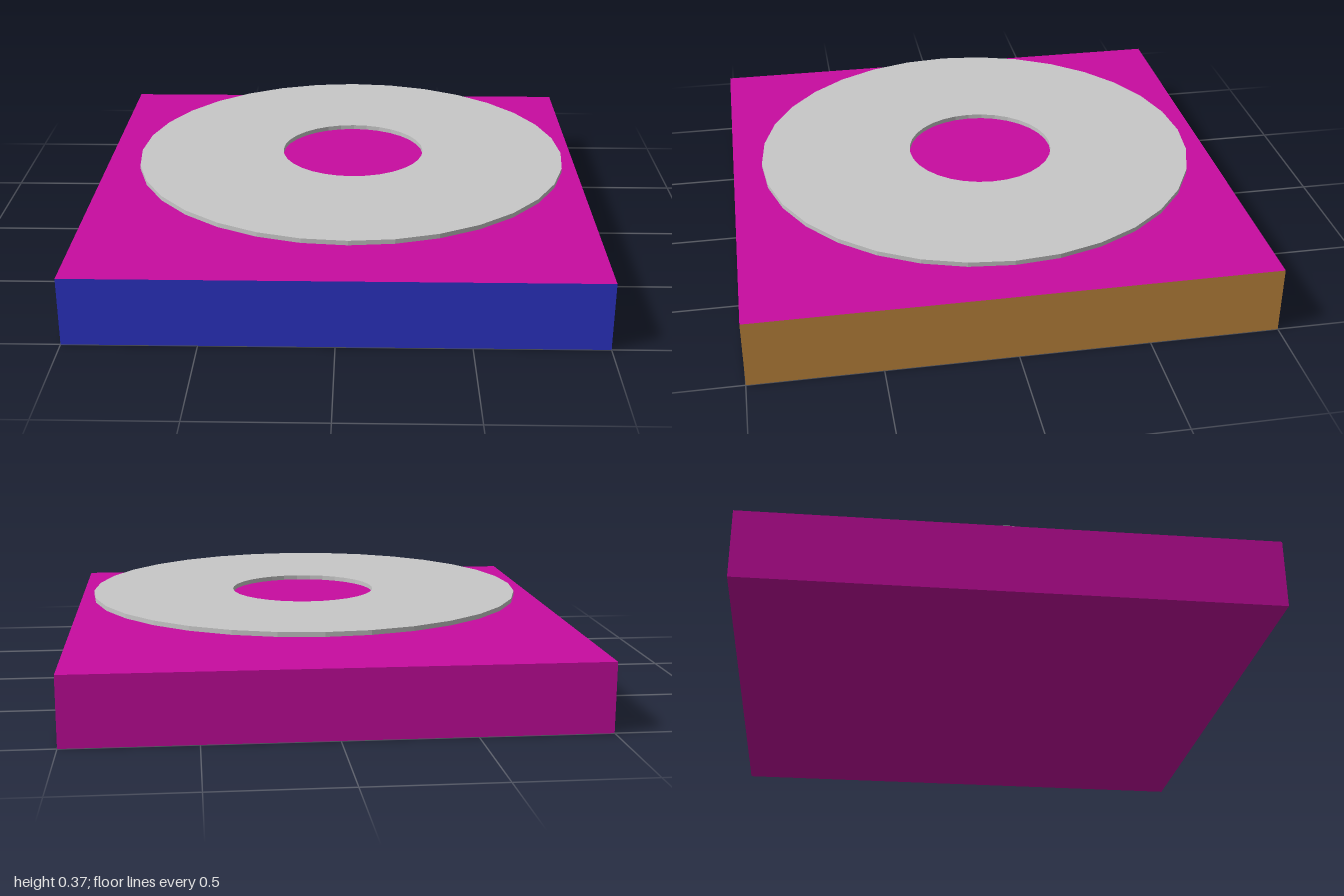
import * as THREE from 'three';

function paint(name, color) {
  const material = new THREE.MeshStandardMaterial({ color });
  material.name = name;
  return material;
}

export function createModel() {
  const group = new THREE.Group();
  const magenta = paint('magenta', 0xc80ca0);
  const blue = paint('blue', 0x2c34c8);
  const orange = paint('orange', 0xc88c40);
  const grey = paint('light grey', 0xc8c8c8);

  // Square slab: faces in the order +x, -x, +y, -y, +z, -z
  const height = 0.267;
  const slab = new THREE.Mesh(
    new THREE.BoxGeometry(2, height, 2),
    [orange, magenta, magenta, magenta, blue, magenta]
  );
  slab.name = 'base';
  slab.position.y = height / 2;
  group.add(slab);

  // Thin 32-sided ring floating above the slab, its hole slightly off centre
  const outline = new THREE.Shape();
  outline.absarc(0.044, -0.004, 0.876, 0, Math.PI * 2, false);
  const hole = new THREE.Path();
  hole.absarc(0.052, 0.018, 0.292, 0, Math.PI * 2, true);
  outline.holes.push(hole);
  const ringGeometry = new THREE.ExtrudeGeometry(outline, {
    depth: 0.018, bevelEnabled: false, curveSegments: 16
  });
  ringGeometry.rotateX(-Math.PI / 2);
  const ring = new THREE.Mesh(ringGeometry, grey);
  ring.name = 'floatingRing';
  ring.position.y = 0.352;
  group.add(ring);

  return group;
}
